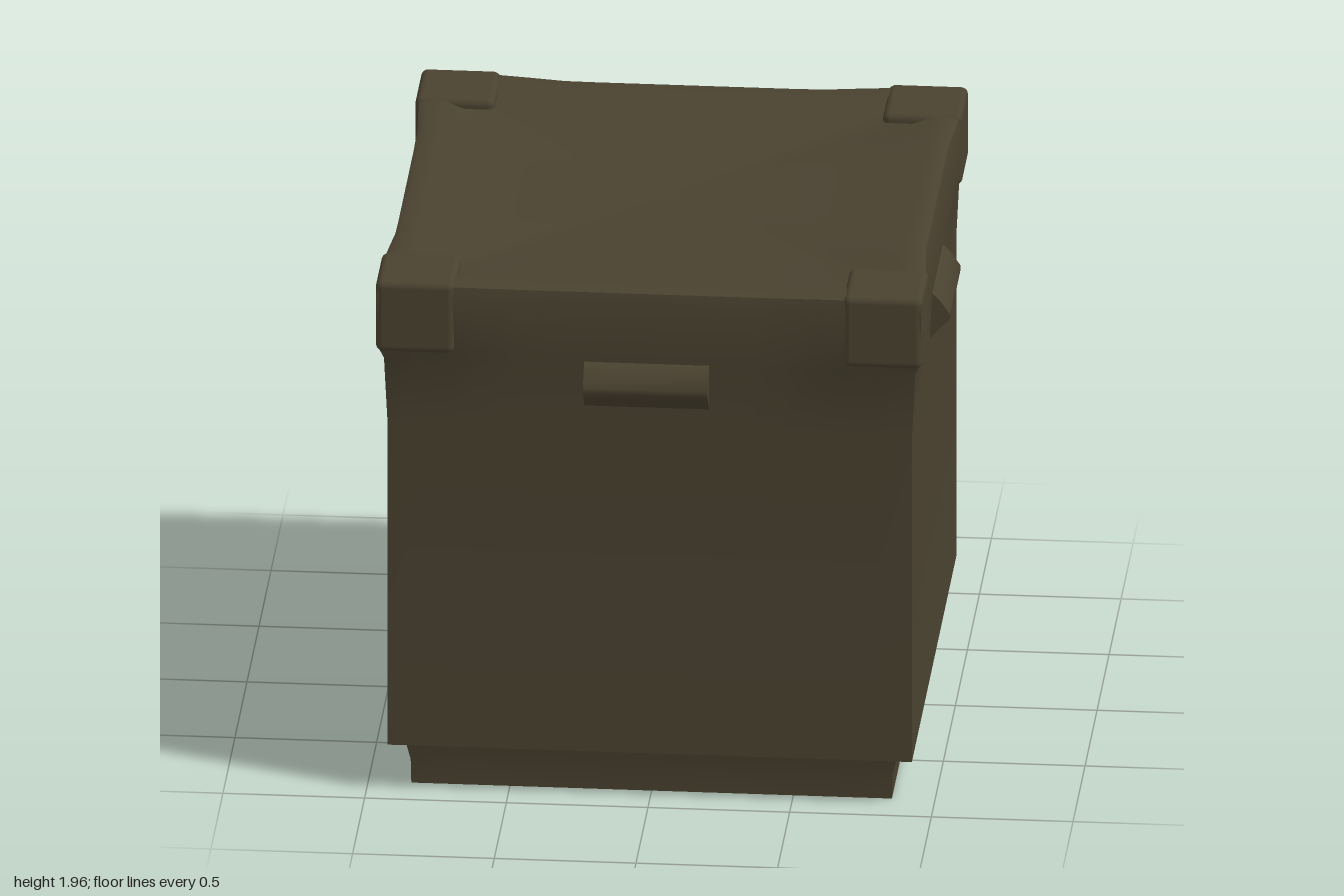
import * as THREE from 'three';
import { toCreasedNormals } from 'three/addons/utils/BufferGeometryUtils.js';
import { RoundedBoxGeometry } from 'three/addons/geometries/RoundedBoxGeometry.js';

const olive = new THREE.MeshStandardMaterial({ color: 0x4a4230 });
olive.name = 'dark olive';

// Lofts square rings [half size, height, corner flare, corner rise] from bottom to top
function squareLoft(rows, steps = 16) {
  const pos = [], index = [], ring = steps * 4;
  for (const [half, y, flare = 0, rise = 0] of rows) {
    for (let j = 0; j < ring; j++) {
      const side = Math.floor(j / steps);
      const t = ((j % steps) / steps) * 2 - 1;
      const f = THREE.MathUtils.smoothstep(Math.abs(t), 0.45, 0.78);
      const out = half + flare * f;
      const a = side * Math.PI / 2, c = Math.cos(a), s = Math.sin(a);
      pos.push(out * c - t * out * s, y + rise * f, -(out * s + t * out * c));
    }
  }
  for (let i = 0; i < rows.length - 1; i++) {
    for (let j = 0; j < ring; j++) {
      const k = (j + 1) % ring, a = i * ring, b = a + ring;
      index.push(a + j, a + k, b + k, a + j, b + k, b + j);
    }
  }
  const geo = new THREE.BufferGeometry();
  geo.setAttribute('position', new THREE.Float32BufferAttribute(pos, 3));
  geo.setIndex(index);
  return toCreasedNormals(geo, 0.8);
}

// Ridge-shaped grip running along x, facing +z
function handleGeometry() {
  const shape = new THREE.Shape([
    [0.9, 1.47], [0.93, 1.5], [0.965, 1.54], [1, 1.575], [1, 1.595],
    [0.965, 1.645], [0.94, 1.67], [0.9, 1.68],
  ].map(([x, y]) => new THREE.Vector2(x, y)));
  const geo = new THREE.ExtrudeGeometry(shape, { depth: 0.44, bevelEnabled: false });
  geo.translate(0, 0, -0.21);
  geo.rotateY(-Math.PI / 2);
  return toCreasedNormals(geo, 0.8);
}

export function createModel() {
  const group = new THREE.Group();
  const add = (name, geo) => {
    const mesh = new THREE.Mesh(geo, olive);
    mesh.name = name;
    group.add(mesh);
    return mesh;
  };

  // Recessed foot
  add('base', squareLoft([[0, 0], [0.848, 0], [0.85, 0.09], [0.87, 0.18], [0, 0.18]]));

  // Walls widening into a rim around the slightly sunken lid
  add('body', squareLoft([
    [0, 0.175], [0.925, 0.175], [0.925, 1.4], [0.937, 1.66],
    [0.941, 1.7, 0.012], [0.942, 1.9, 0.02], [0.935, 1.935, 0.02, 0.01],
    [0.915, 1.945, 0.015, 0.01], [0.86, 1.942, 0, 0.01], [0.79, 1.925], [0, 1.925],
  ]));

  // Corner guards
  for (const x of [-1, 1]) for (const z of [-1, 1]) {
    const guard = add('cornerGuard', new RoundedBoxGeometry(0.28, 0.27, 0.28, 3, 0.025));
    guard.position.set(x * 0.825, 1.825, z * 0.825);
  }

  // One grip on each wall
  const grip = handleGeometry();
  ['front', 'left', 'back', 'right'].forEach((side, i) => {
    add(side + 'Handle', grip).rotation.y = i * Math.PI / 2;
  });
  return group;
}
